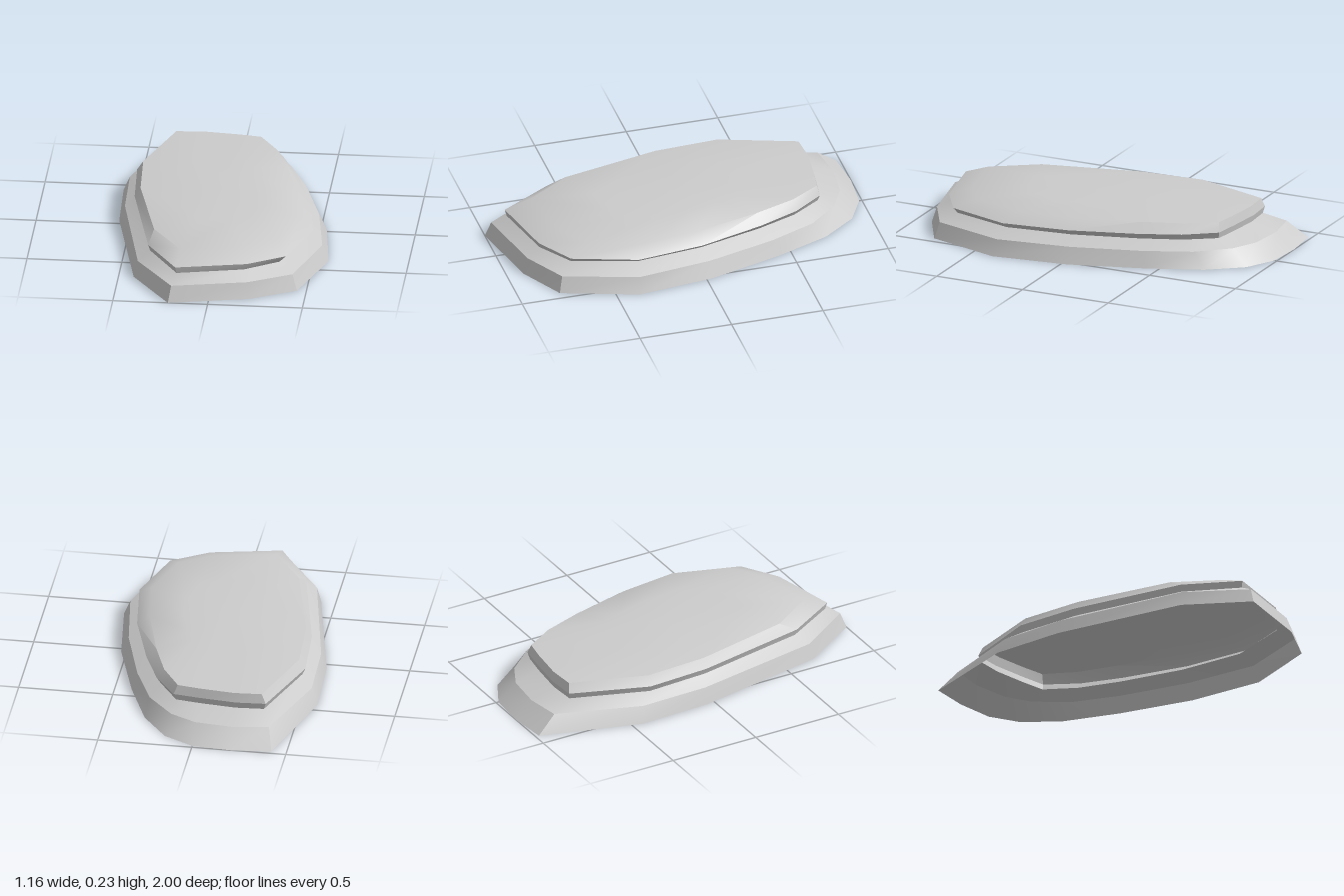
import * as THREE from 'three';
import { toCreasedNormals } from 'three/addons/utils/BufferGeometryUtils.js';

// Outlines as [x, z], from the back left corner, past the right side of the plan, and round
const foot = [[-0.42, -0.98], [-0.21, -1], [0, -0.985], [0.16, -0.9], [0.295, -0.72], [0.41, -0.43], [0.53, -0.03],
  [0.58, 0.38], [0.45, 0.78], [0.21, 0.91], [-0.21, 1], [-0.42, 0.68], [-0.565, -0.04], [-0.58, -0.44]];
const shoulder = [[-0.39, -0.87], [-0.2, -0.9], [0, -0.88], [0.14, -0.81], [0.28, -0.65], [0.385, -0.4], [0.49, -0.03],
  [0.545, 0.37], [0.425, 0.76], [0.2, 0.885], [-0.195, 0.97], [-0.4, 0.665], [-0.535, -0.04], [-0.545, -0.42]];
const slab = [[-0.355, -0.76], [-0.2, -0.77], [0, -0.75], [0.14, -0.73], [0.255, -0.57], [0.345, -0.35], [0.45, 0],
  [0.495, 0.36], [0.385, 0.7], [0.19, 0.82], [-0.18, 0.9], [-0.35, 0.62], [-0.48, 0], [-0.5, -0.35]];

// Scales an outline separately towards its left, right, back and front
const inset = (pts, left, right, back, front) =>
  pts.map(([x, z]) => [x * (x < 0 ? left : right), z * (z < 0 ? back : front)]);

// Skins a stack of { y, pts } rings, with an optional flat cap on the last one
function loft(name, rings, material, cap = false) {
  const n = rings[0].pts.length;
  const pos = [];
  const index = [];
  rings.forEach(({ y, pts }) => pts.forEach(([x, z]) => pos.push(x, y, z)));
  for (let r = 0; r < rings.length - 1; r++) {
    for (let i = 0; i < n; i++) {
      const j = (i + 1) % n;
      const a = r * n + i, b = r * n + j;
      index.push(a, a + n, b, b, a + n, b + n);
    }
  }
  if (cap) {
    const top = (rings.length - 1) * n;
    const centre = pos.length / 3;
    pos.push(0, rings[rings.length - 1].y, 0);
    for (let i = 0; i < n; i++) index.push(top + i, centre, top + ((i + 1) % n));
  }
  const geo = new THREE.BufferGeometry();
  geo.setAttribute('position', new THREE.Float32BufferAttribute(pos, 3));
  geo.setIndex(index);
  const mesh = new THREE.Mesh(toCreasedNormals(geo, 0.62), material);
  mesh.name = name;
  return mesh;
}

export function createModel() {
  const group = new THREE.Group();
  group.name = 'steppedStone';
  const stone = new THREE.MeshStandardMaterial({ color: 0xcccccc, side: THREE.DoubleSide });
  const neck = inset(slab, 0.97, 0.91, 0.99, 0.99);

  // Sloping foot, open underneath
  group.add(loft('footWall', [{ y: 0, pts: foot }, { y: 0.085, pts: shoulder }], stone));
  // Ledge rising to the groove
  group.add(loft('ledge', [{ y: 0.085, pts: shoulder }, { y: 0.125, pts: neck }], stone));
  // Undercut groove below the slab
  group.add(loft('groove', [{ y: 0.125, pts: neck }, { y: 0.16, pts: slab }], stone));
  // Softly domed top slab, steep at the back
  group.add(loft('topSlab', [
    { y: 0.16, pts: slab },
    { y: 0.21, pts: inset(slab, 0.935, 0.85, 0.985, 0.85) },
    { y: 0.23, pts: inset(slab, 0.54, 0.44, 0.47, 0.48) },
  ], stone, true));
  return group;
}
